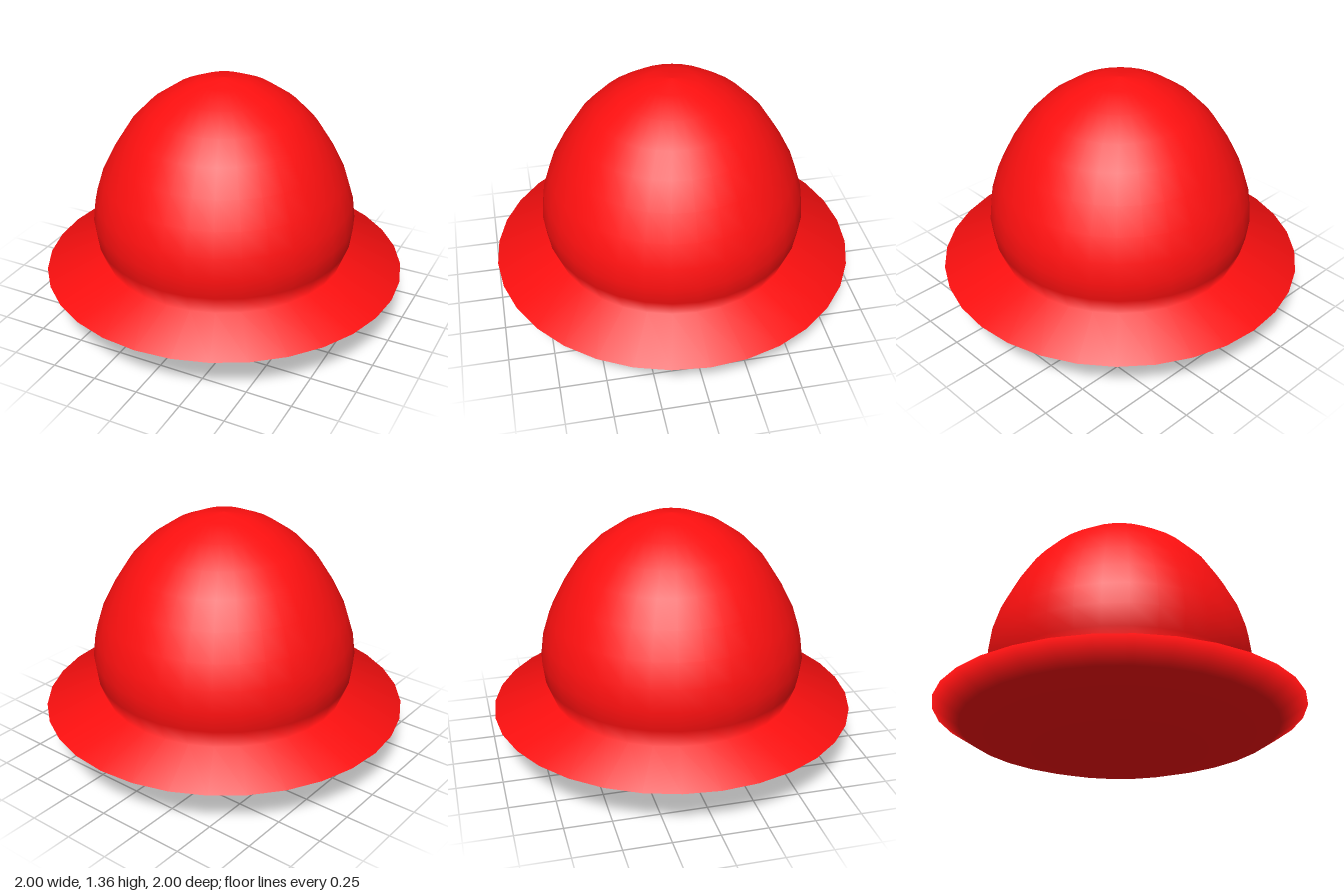
import * as THREE from 'three';

export function createModel() {
  const group = new THREE.Group();
  group.name = 'bowlerHat';

  // Half profile as [radius, height], from the bottom centre up to the crown
  const underside = [[0, 0], [0.235, 0.01], [0.46, 0.043], [0.665, 0.1], [0.855, 0.165]];
  const brimEdge = [[1, 0.26]];
  const crown = [
    [0.67, 0.33], [0.71, 0.44], [0.725, 0.555], [0.71, 0.675], [0.67, 0.805], [0.6, 0.945],
    [0.515, 1.08], [0.41, 1.19], [0.28, 1.28], [0.14, 1.34], [0, 1.36],
  ];
  const profile = [...underside, ...brimEdge, ...crown].map(([r, y]) => new THREE.Vector2(r, y));

  // Rounded underside, brim and crown are one smooth turned surface
  const hat = new THREE.Mesh(
    new THREE.LatheGeometry(profile, 32),
    new THREE.MeshStandardMaterial({ color: 0xff1010 })
  );
  hat.name = 'crownAndBrim';
  group.add(hat);
  return group;
}
